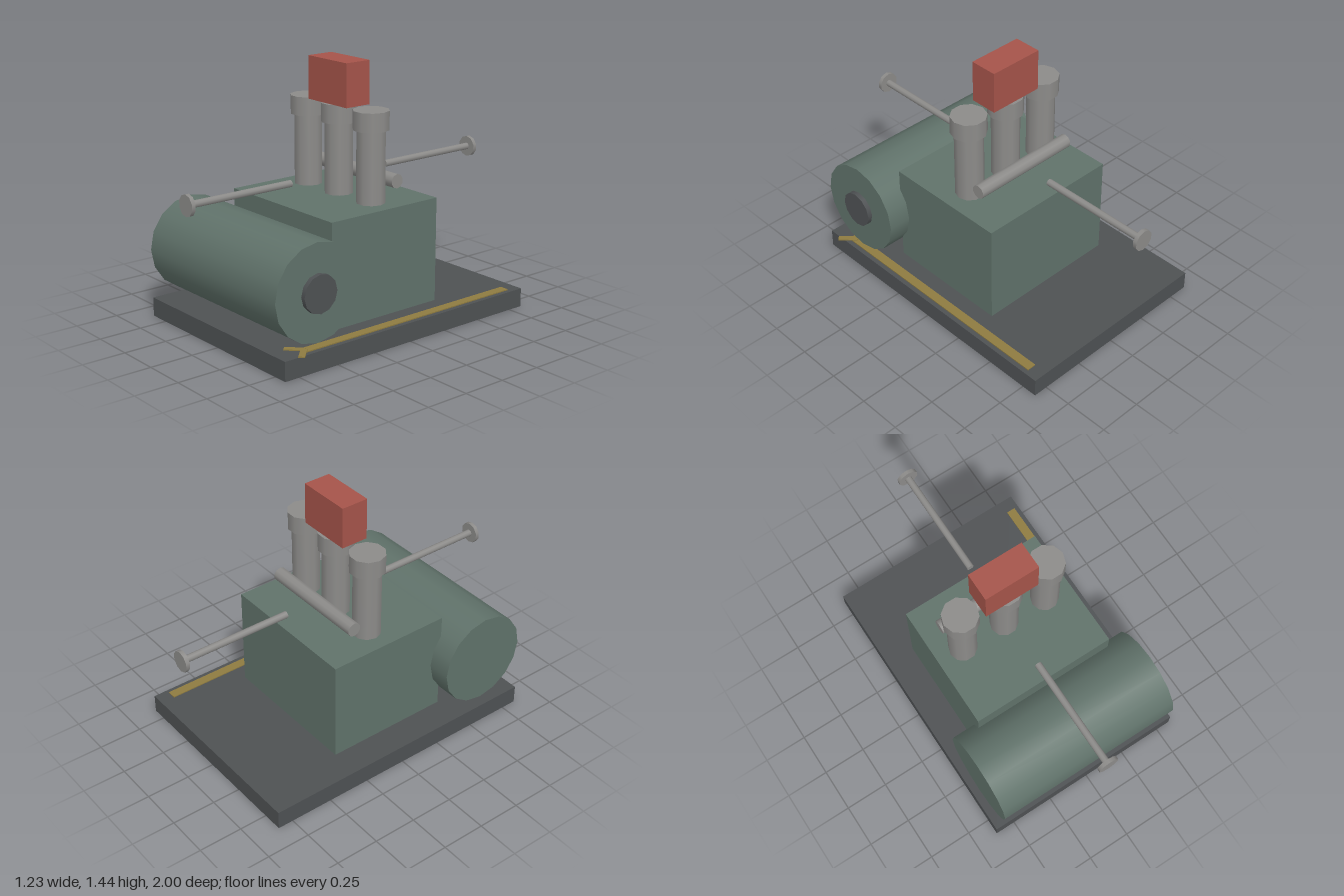
import * as THREE from 'three';

const material = (name, color) => {
  const m = new THREE.MeshStandardMaterial({ color });
  m.name = name;
  return m;
};

export function createModel() {
  const model = new THREE.Group();
  model.name = 'pumpUnit';

  const green = material('machine green', 0x60726a);
  const dark = material('dark iron', 0x4e5153);
  const steel = material('steel grey', 0x8c8b89);
  const red = material('red', 0xa5544a);
  const brass = material('brass', 0x8e7b40);
  const MID = -0.017; // centre line of the machine

  const add = (name, geometry, mat, x, y, z) => {
    const mesh = new THREE.Mesh(geometry, mat);
    mesh.name = name;
    mesh.position.set(x, y, z);
    model.add(mesh);
    return mesh;
  };
  const box = (name, mat, w, h, d, x, y, z) =>
    add(name, new THREE.BoxGeometry(w, h, d), mat, x, y, z);
  // Round part lying along the given axis, with a corner on the x or y side
  const rod = (name, mat, axis, r, length, sides, x, y, z) => {
    const start = axis === 'z' ? 0 : Math.PI / 2;
    const g = new THREE.CylinderGeometry(r, r, length, sides, 1, false, start);
    if (axis === 'x') g.rotateZ(Math.PI / 2);
    if (axis === 'z') g.rotateX(Math.PI / 2);
    return add(name, g, mat, x, y, z);
  };

  // Skid and main housing
  box('basePlate', dark, 1.2, 0.107, 1.68, MID, 0.0535, 0);
  box('housing', green, 0.853, 0.588, 0.733, MID, 0.401, 0.033);

  // Motor drum with its shaft hub on the left end
  rod('motorDrum', green, 'x', 0.267, 1.12, 16, MID, 0.4, 0.6);
  rod('motorHub', dark, 'x', 0.105, 0.054, 12, 0.543, 0.4, 0.6);

  // Three capped columns
  for (const offset of [-0.267, 0, 0.267]) {
    rod('column', steel, 'y', 0.08, 0.42, 10, MID + offset, 0.895, 0);
    rod('columnCap', steel, 'y', 0.1, 0.105, 10, MID + offset, 1.1475, 0);
  }

  // Control box and cross pipe
  box('controlBox', red, 0.32, 0.24, 0.16, MID, 1.321, 0);
  rod('crossPipe', steel, 'x', 0.04, 0.66, 10, MID, 0.801, -0.133);

  // Flanged pipes to front and back
  for (const side of [1, -1]) {
    rod('pipe', steel, 'z', 0.02, 0.647, 10, MID, 0.801, side * 0.6565);
    rod('pipeFlange', steel, 'z', 0.06, 0.022, 10, MID, 0.801, side * 0.989);
  }

  // Flat arrow strip along the left edge, forked at the front
  box('arrowStrip', brass, 0.053, 0.006, 1.46, 0.53, 0.11, -0.03);
  for (const side of [1, -1]) {
    const arm = box('arrowArm', brass, 0.034, 0.006, 0.11, 0.53 + side * 0.034, 0.115, 0.713);
    arm.rotation.y = side * Math.PI / 4;
  }

  return model;
}
